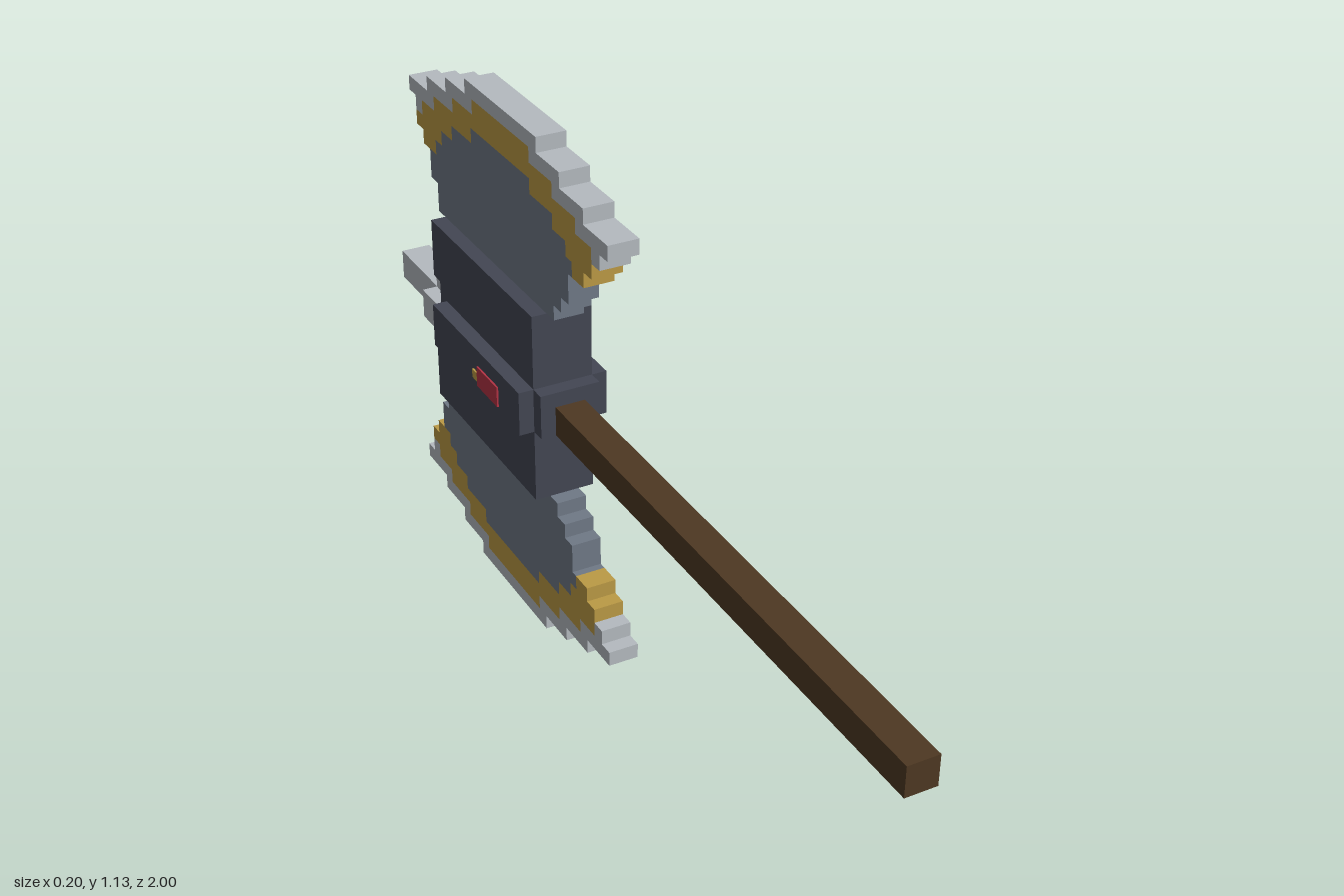
import * as THREE from 'three';
import { mergeGeometries } from 'three/addons/utils/BufferGeometryUtils.js';

const U = 2 / 62; // one block
const MID = 17.5; // height of the mirror plane between the blades, in blocks

const mat = (name, color) => {
  const m = new THREE.MeshStandardMaterial({ color });
  m.name = name;
  return m;
};

// Box from block limits; z counts backwards from the middle
function block(x0, x1, y0, y1, z0, z1) {
  const g = new THREE.BoxGeometry((x1 - x0) * U, (y1 - y0) * U, (z1 - z0) * U);
  g.translate((x0 + x1) / 2 * U, (y0 + y1) / 2 * U, -(z0 + z1) / 2 * U);
  return g;
}

// Blade rows from the neck outwards: [row, outer span, gold span, steel span]
const ROWS = [
  [24, [7, 24], null, [7, 24]],
  [25, [6, 24], null, [6, 24]],
  [26, [5, 25], null, [5, 25]],
  [27, [5, 25], null, [5, 25]],
  [28, [3, 26], [3, 26], [4.5, 24]],
  [29, [2, 27], [2, 27], [5.3, 23]],
  [30, [1, 27], [2, 26], [7, 21.3]],
  [31, [0, 28], [4, 24], [10, 18.3]],
  [32, [0, 28], [7, 21], null],
  [33, [3, 25], [10, 18], null],
  [34, [6, 22], null, null],
];
// The two topmost steps
ROWS[8][1] = [3, 25];
ROWS[9][1] = [6, 22];
ROWS[10][1] = [9, 19];

export function createModel() {
  const steel = mat('blueSteel', 0x6f7986);
  const edge = mat('paleEdge', 0xb4babf);
  const gold = mat('gold', 0xbb9a45);
  const dark = mat('darkIron', 0x434653);
  const wood = mat('wood', 0x4e3822);
  const red = mat('redGem', 0xb33344);

  const root = new THREE.Group();
  root.name = 'battleAxe';
  const add = (parent, name, geo, material) => {
    const m = new THREE.Mesh(geo, material);
    m.name = name;
    parent.add(m);
  };

  // Handle
  add(root, 'handle', block(-1, 1, 16, 18, -31, 7), wood);

  // Head body with a notch at the back around the spike socket
  const s = new THREE.Shape();
  [[8, 11], [23, 11], [23, 15], [22, 15], [22, 20], [23, 20], [23, 24], [8, 24]]
    .forEach(([z, y], i) => s[i ? 'lineTo' : 'moveTo'](z * U, y * U));
  const body = new THREE.ExtrudeGeometry(s, { depth: 4 * U, bevelEnabled: false });
  body.rotateY(Math.PI / 2).translate(-2 * U, 0, 0);
  add(root, 'headBody', body, dark);
  add(root, 'sidePlates', block(-3, 3, 16, 19, 8, 21), dark);
  add(root, 'frontCollar', block(-2, 2, 16, 19, 7, 8), dark);

  // Back spike and its cross-shaped socket
  add(root, 'spike', block(-1, 1, 16, 18, 22, 31), edge);
  add(root, 'socketAcross', block(-2.05, 2.05, 16, 18, 21, 25), edge);
  add(root, 'socketUpright', block(-1.02, 1.02, 15.2, 19, 22, 24.98), edge);

  // Inlays on the side plates
  add(root, 'goldInlay', block(3, 3.12, 17.15, 18.1, 11, 15), gold);
  add(root, 'redInlay', block(-3.12, -3, 16.5, 17.9, 11, 14), red);
  add(root, 'goldFleck', block(-3.12, -3, 16.8, 17.4, 14, 14.7), gold);

  // Two mirrored blades, stacked row by row in three bands
  for (const up of [true, false]) {
    const blade = new THREE.Group();
    blade.name = up ? 'upperBlade' : 'lowerBlade';
    root.add(blade);
    const bands = { edge: [], gold: [], steel: [] };
    const put = (band, row, a, b) => {
      if (b <= a) return;
      const y = up ? row : 2 * MID - row - 1;
      bands[band].push(block(-1, 1, y, y + 1, a, b));
    };
    // Fill a span, leaving out the inner span
    const ring = (band, row, outer, inner) => {
      if (!outer) return;
      if (!inner) return put(band, row, ...outer);
      put(band, row, outer[0], inner[0]);
      put(band, row, inner[1], outer[1]);
    };
    for (const [row, outer, goldSpan, steelSpan] of ROWS) {
      ring('edge', row, outer, goldSpan || steelSpan);
      ring('gold', row, goldSpan, steelSpan);
      ring('steel', row, steelSpan, null);
    }
    add(blade, 'cuttingEdge', mergeGeometries(bands.edge), edge);
    add(blade, 'goldBand', mergeGeometries(bands.gold), gold);
    add(blade, 'bladeFace', mergeGeometries(bands.steel), steel);
  }
  return root;
}
